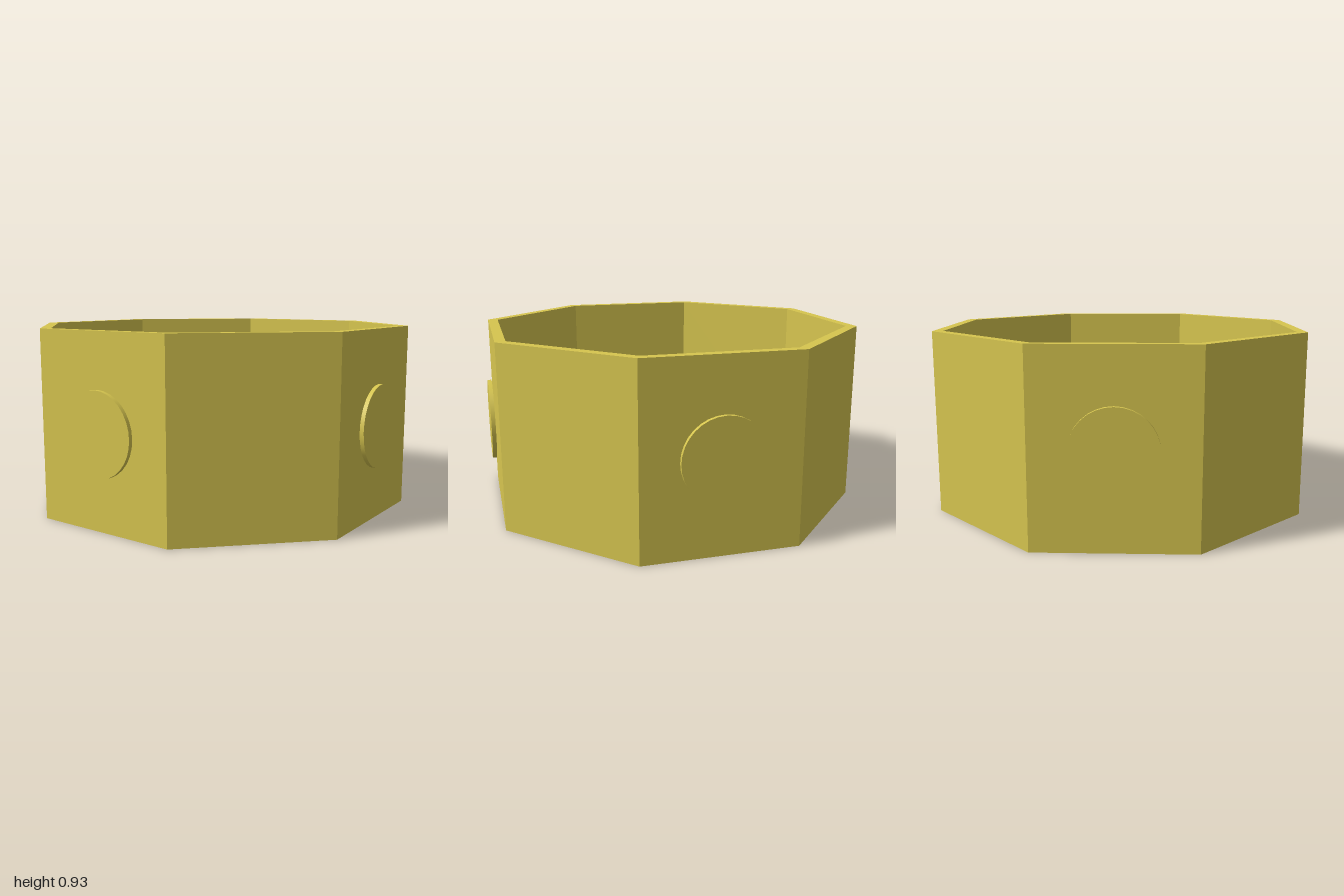
import * as THREE from 'three';

const HEIGHT = 0.93;
const INNER_RADIUS = 0.945;
const FLOOR = 0.05;

export function createModel() {
  const model = new THREE.Group();
  model.name = 'octagonalTub';

  const mustard = new THREE.MeshStandardMaterial({ color: 0xd6c54f });
  mustard.name = 'mustard yellow';

  // Open eight-sided tub: outer wall, rim, inner wall and floor in one profile
  const profile = [
    [0, 0], [1, 0], [1, HEIGHT],
    [INNER_RADIUS, HEIGHT], [INNER_RADIUS, FLOOR], [0, FLOOR],
  ].map(([r, y]) => new THREE.Vector2(r, y));
  const tubGeometry = new THREE.LatheGeometry(profile, 8).toNonIndexed();
  tubGeometry.computeVertexNormals(); // flat facets
  const tub = new THREE.Mesh(tubGeometry, mustard);
  tub.name = 'tub';
  model.add(tub);

  // Round discs standing just off every second wall
  const discGeometry = new THREE.CylinderGeometry(0.203, 0.203, 0.02, 32);
  discGeometry.rotateX(Math.PI / 2);
  discGeometry.translate(0, HEIGHT / 2, 0.946);
  for (let i = 0; i < 4; i++) {
    const disc = new THREE.Mesh(discGeometry, mustard);
    disc.name = `sideDisc${i + 1}`;
    disc.rotation.y = Math.PI / 8 + (i * Math.PI) / 2;
    model.add(disc);
  }

  return model;
}
